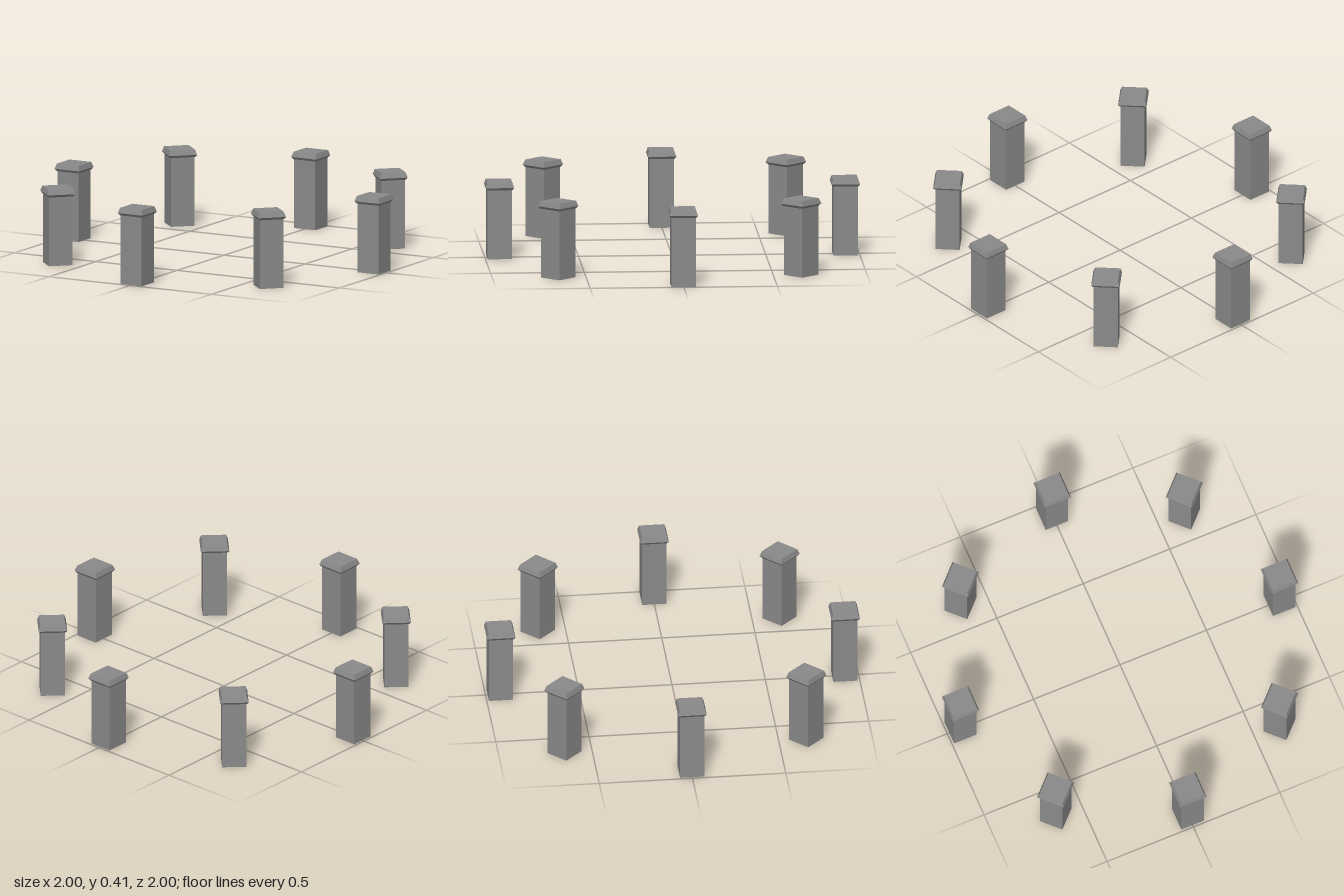
import * as THREE from 'three';

const COUNT = 8;
const AXIS_RADIUS = 0.9235;
const DIAGONAL_RADIUS = 0.917;
const SHAFT_W = 0.13;
const SHAFT_H = 0.38;

// Square solid of revolution: profile entries are [half width, height]
function squareLathe(profile) {
  const points = profile.map(([half, y]) => new THREE.Vector2(half * Math.SQRT2, y));
  const geometry = new THREE.LatheGeometry(points, 4).rotateY(Math.PI / 4).toNonIndexed();
  geometry.computeVertexNormals();
  return geometry;
}

export function createModel() {
  const model = new THREE.Group();
  model.name = 'postRing';
  const material = new THREE.MeshStandardMaterial({ color: 0x8a8a8a, flatShading: true });

  // Plain square shaft standing on the ground
  const shaftGeometry = new THREE.BoxGeometry(SHAFT_W, SHAFT_H, SHAFT_W).translate(0, SHAFT_H / 2, 0);

  // Cap flares out under its rim, then tapers to a flat top
  const capGeometry = squareLathe([
    [0, 0.373], [0.067, 0.373], [0.0765, 0.386], [0.067, 0.414], [0, 0.414],
  ]);

  // Eight posts evenly spaced, each turned to face the centre
  for (let i = 0; i < COUNT; i++) {
    const angle = (i / COUNT) * Math.PI * 2;
    const radius = i % 2 ? DIAGONAL_RADIUS : AXIS_RADIUS;
    const post = new THREE.Group();
    post.name = `post${i + 1}`;
    post.position.set(Math.sin(angle) * radius, 0, Math.cos(angle) * radius);
    post.rotation.y = angle;

    const shaft = new THREE.Mesh(shaftGeometry, material);
    shaft.name = 'shaft';
    const cap = new THREE.Mesh(capGeometry, material);
    cap.name = 'cap';
    post.add(shaft, cap);
    model.add(post);
  }
  return model;
}
